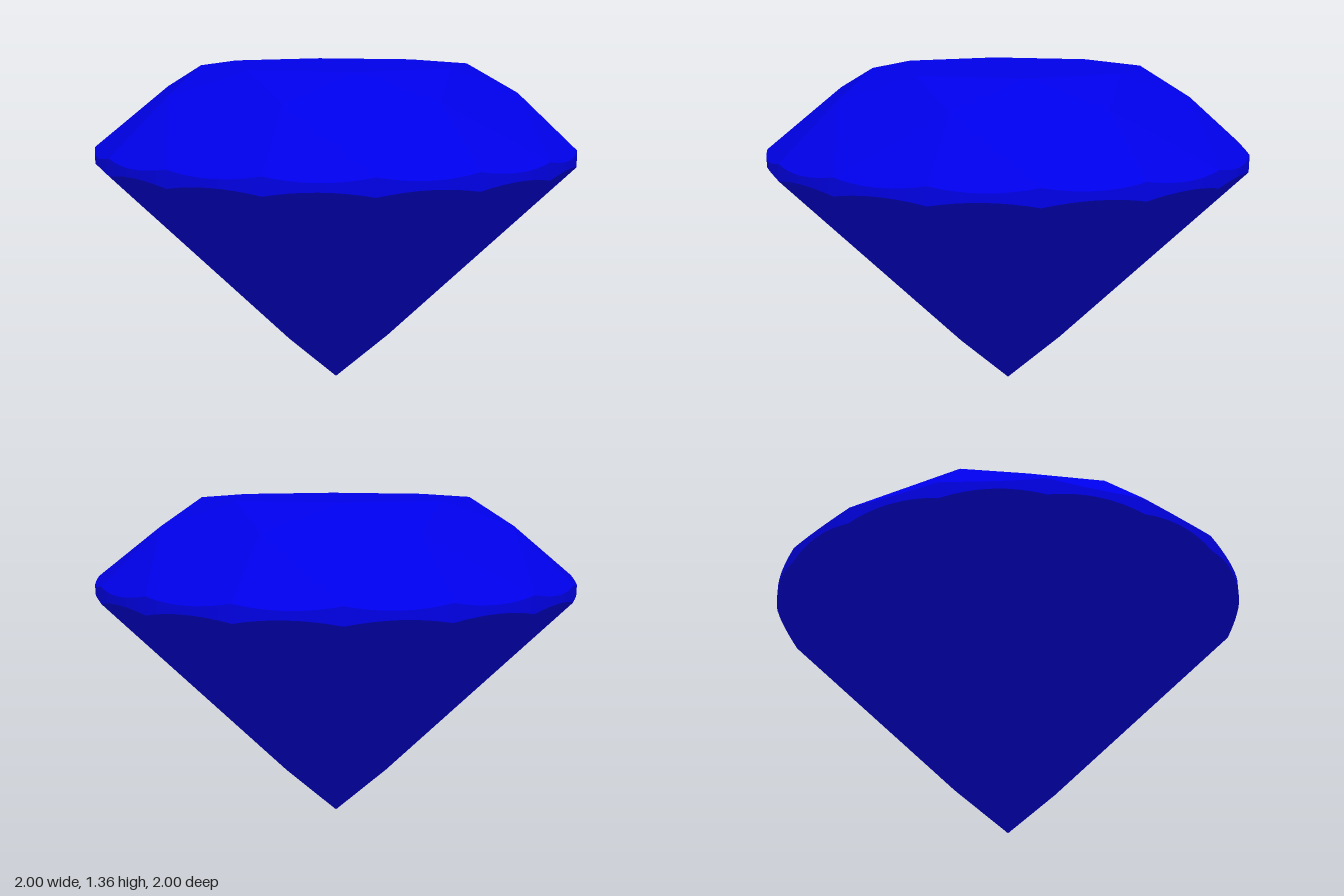
import * as THREE from 'three';

const STEP = 22.5;           // angle between neighbouring girdle corners
const ARC = 8;               // divisions of each scallop
const TABLE_R = 0.56, TABLE_Y = 1.36;
const GIRDLE_TOP = 1.03, GIRDLE_BOTTOM = 0.96;
const CROWN_R = 0.757;       // corners where star, main and half facets meet
const PAVILION_R = 0.23;     // corners where the lower half facets end

const at = (r, deg, y) => {
  const a = THREE.MathUtils.degToRad(deg);
  return new THREE.Vector3(r * Math.sin(a), y, r * Math.cos(a));
};

// Main facets are planes; their side corners lie on them
const half = Math.cos(THREE.MathUtils.degToRad(STEP));
const crownY = TABLE_Y - (TABLE_Y - GIRDLE_TOP) * (CROWN_R * half - TABLE_R) / (1 - TABLE_R);
const pavilionY = GIRDLE_BOTTOM * PAVILION_R * half;

// Flat polygon as a triangle fan, corners counter-clockwise from outside
function addFacet(out, pts) {
  for (let i = 1; i < pts.length - 1; i++) {
    for (const p of [pts[0], pts[i], pts[i + 1]]) out.push(p.x, p.y, p.z);
  }
}

// Scallop where the plane of a half facet cuts the round girdle
function scallop(corner, deg, y) {
  const plane = new THREE.Plane().setFromCoplanarPoints(corner, at(1, deg, y), at(1, deg + STEP, y));
  const { normal: n, constant: c } = plane;
  return Array.from({ length: ARC + 1 }, (_, i) => {
    const p = at(1, deg + STEP * i / ARC, 0);
    p.y = -(c + n.x * p.x + n.z * p.z) / n.y;
    return p;
  });
}

function facetMesh(name, positions, material) {
  const geo = new THREE.BufferGeometry();
  geo.setAttribute('position', new THREE.Float32BufferAttribute(positions, 3));
  geo.computeVertexNormals();
  const mesh = new THREE.Mesh(geo, material);
  mesh.name = name;
  return mesh;
}

export function createModel() {
  const group = new THREE.Group();
  group.name = 'cutGem';
  const flat = new THREE.MeshStandardMaterial({ color: 0x0000e7, flatShading: true });
  const smooth = new THREE.MeshStandardMaterial({ color: 0x0000e7 });
  const table = [], crown = [], girdle = [], pavilion = [];
  const culet = at(0, 0, 0);

  // Octagonal table
  addFacet(table, Array.from({ length: 8 }, (_, i) => at(TABLE_R, i * 45, TABLE_Y)));

  // Main and star facets, eight of each
  for (let i = 0; i < 8; i++) {
    const a = i * 45;
    const t = at(TABLE_R, a, TABLE_Y);
    const kite = at(CROWN_R, a + STEP, crownY);
    addFacet(crown, [t, at(CROWN_R, a - STEP, crownY), at(1, a, GIRDLE_TOP), kite]);
    addFacet(crown, [t, kite, at(TABLE_R, a + 45, TABLE_Y)]);
    addFacet(pavilion, [culet, at(PAVILION_R, a + STEP, pavilionY),
      at(1, a, GIRDLE_BOTTOM), at(PAVILION_R, a - STEP, pavilionY)]);
  }

  // Upper and lower half facets with the girdle band between them
  for (let i = 0; i < 16; i++) {
    const a = i * STEP;
    const cornerAngle = i % 2 ? a : a + STEP;
    const upper = at(CROWN_R, cornerAngle, crownY);
    const lower = at(PAVILION_R, cornerAngle, pavilionY);
    const top = scallop(upper, a, GIRDLE_TOP);
    const bottom = scallop(lower, a, GIRDLE_BOTTOM);
    addFacet(crown, [upper, ...top]);
    addFacet(pavilion, [lower, ...bottom.slice().reverse()]);
    for (let j = 0; j < ARC; j++) {
      addFacet(girdle, [bottom[j], bottom[j + 1], top[j + 1], top[j]]);
    }
  }

  const band = facetMesh('girdle', girdle, smooth);
  // Radial normals keep the band round
  const { position, normal } = band.geometry.attributes;
  for (let i = 0; i < position.count; i++) normal.setXYZ(i, position.getX(i), 0, position.getZ(i));

  group.add(
    facetMesh('table', table, flat),
    facetMesh('crown', crown, flat),
    band,
    facetMesh('pavilion', pavilion, flat),
  );
  return group;
}
